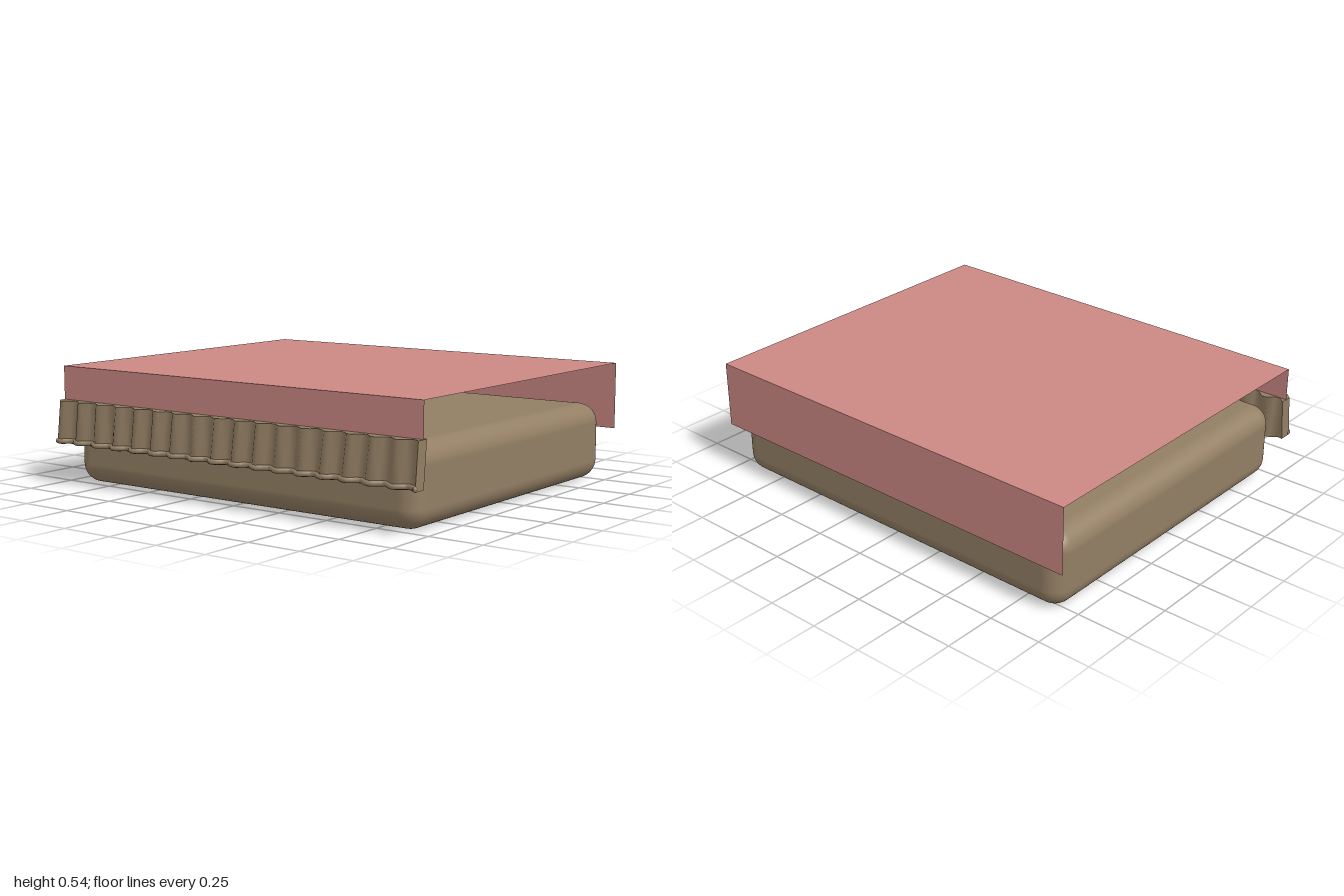
import * as THREE from 'three';
import { RoundedBoxGeometry } from 'three/addons/geometries/RoundedBoxGeometry.js';

const PERIOD = 0.1165;
// pleat offset in z; the folds lean slightly towards the bottom
const pleat = (x, y) => 0.02 * Math.cos((2 * Math.PI * (x + 0.967 - (y - 0.29) * 0.12)) / PERIOD);

export function createModel() {
  const group = new THREE.Group();
  const cushionMat = new THREE.MeshStandardMaterial({ color: 0x937f64 });
  cushionMat.name = 'tanFabric';
  const coverMat = new THREE.MeshStandardMaterial({ color: 0xcc8884, side: THREE.DoubleSide });
  coverMat.name = 'pinkFabric';

  const add = (name, geometry, material, x = 0, y = 0, z = 0) => {
    const mesh = new THREE.Mesh(geometry, material);
    mesh.name = name;
    mesh.position.set(x, y, z);
    group.add(mesh);
    return mesh;
  };

  // mattress with rounded edges
  add('mattress', new RoundedBoxGeometry(1.9, 0.355, 1.58, 6, 0.09), cushionMat, 0, 0.1805, -0.03);

  // cover sheet: top with front and back flaps, open at the sides
  const top = 0.545, front = 0.78, back = -0.85, width = 1.99;
  add('coverTop', new THREE.PlaneGeometry(width, front - back).rotateX(-Math.PI / 2),
    coverMat, 0, top, (front + back) / 2);
  const flap = (name, bottom, z, turn) =>
    add(name, new THREE.PlaneGeometry(width, top - bottom).rotateY(turn), coverMat, 0, (top + bottom) / 2, z);
  flap('coverFrontFlap', 0.385, front, 0);
  flap('coverBackFlap', 0.235, back, Math.PI);

  // thick pleated ruffle hanging under the front flap
  const ruffle = new THREE.BoxGeometry(width, 0.2, 0.06, 72, 1, 1).translate(0, 0.29, 0.79);
  const p = ruffle.attributes.position;
  for (let i = 0; i < p.count; i++) p.setZ(i, p.getZ(i) + pleat(p.getX(i), p.getY(i)));
  ruffle.computeVertexNormals();
  add('ruffle', ruffle, cushionMat);

  // rounded hem following the pleats
  const r = 0.012, hemY = 0.202, points = [];
  for (let i = 0; i <= 72; i++) {
    const x = -0.992 + (1.984 * i) / 72;
    points.push(new THREE.Vector3(x, hemY, 0.82 + 0.9 * pleat(x, hemY)));
  }
  add('hem', new THREE.TubeGeometry(new THREE.CatmullRomCurve3(points), 144, r, 8), cushionMat);
  for (const end of [points[0], points[72]]) {
    add('hemEnd', new THREE.SphereGeometry(r, 10, 8), cushionMat, end.x, end.y, end.z).scale.x = 0.65;
  }
  return group;
}
